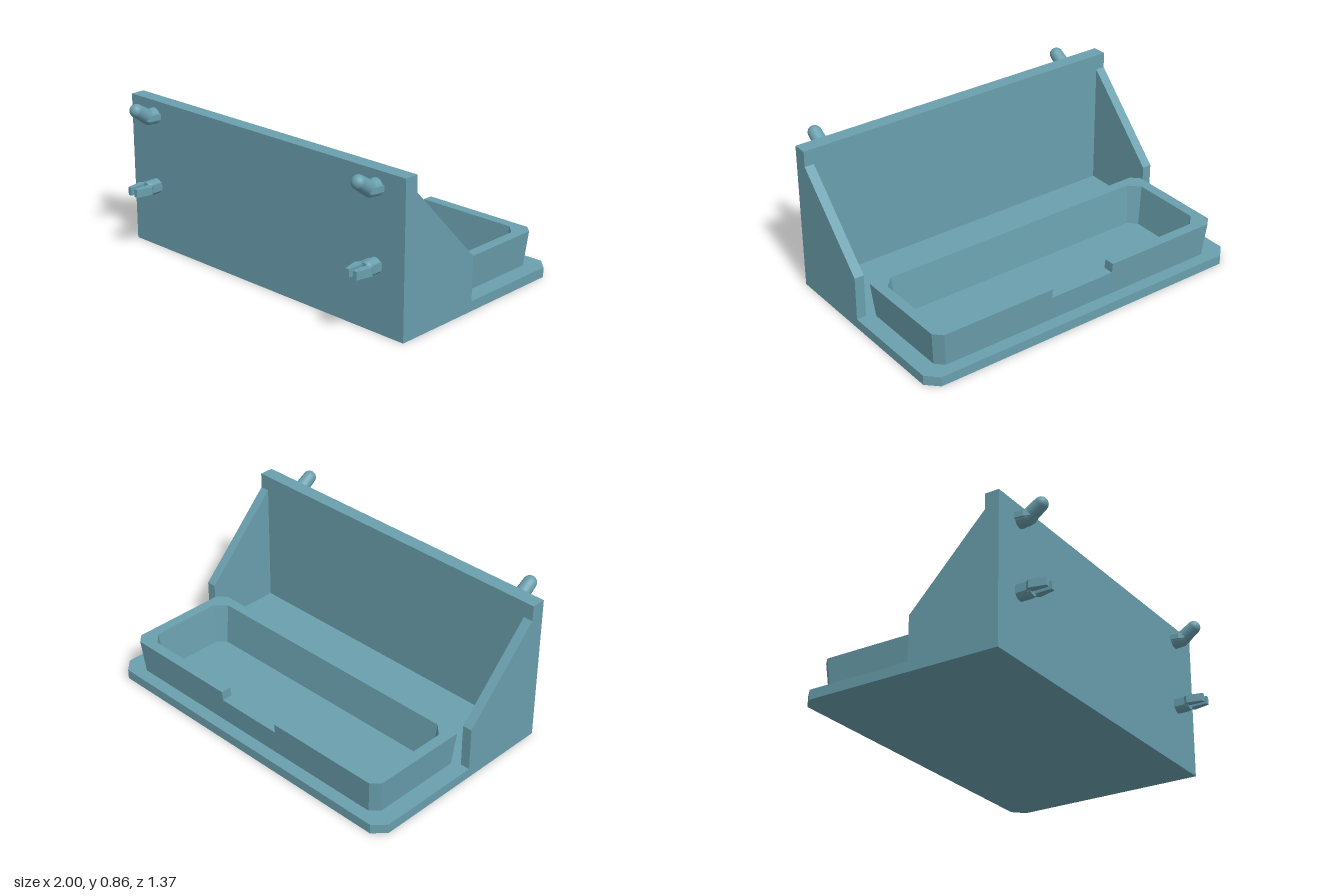
import * as THREE from 'three';

const material = new THREE.MeshStandardMaterial({ color: 0x6a9fae, flatShading: true, side: THREE.DoubleSide });
const smooth = new THREE.MeshStandardMaterial({ color: 0x6a9fae });

const shapeOf = (pts) => new THREE.Shape(pts.map(([x, y]) => new THREE.Vector2(x, y)));

function part(name, geometry, parent, mat = material) {
  const mesh = new THREE.Mesh(geometry, mat);
  mesh.name = name;
  parent.add(mesh);
  return mesh;
}

// Extrudes an (x, z) outline upward from y0 to y1
function slab(outline, y0, y1, hole) {
  const flip = ([x, z]) => [x, -z];
  const shape = shapeOf(outline.map(flip));
  if (hole) shape.holes.push(shapeOf(hole.map(flip)));
  return new THREE.ExtrudeGeometry(shape, { depth: y1 - y0, bevelEnabled: false })
    .rotateX(-Math.PI / 2).translate(0, y0, 0);
}

// Chamfered rectangle; the back edge carries doubled points for the notch
const NOTCH = 0.2;
function trayRing(hx, zb, zf, c, y, drop = 0, shift = 0) {
  return [
    [hx, y, zf - c], [hx, y, zb + c], [hx - c, y, zb],
    [NOTCH, y, zb], [NOTCH, y - drop, zb + shift], [-NOTCH, y - drop, zb + shift], [-NOTCH, y, zb],
    [c - hx, y, zb], [-hx, y, zb + c], [-hx, y, zf - c], [c - hx, y, zf], [hx - c, y, zf],
  ];
}

function trayGeometry() {
  const rings = [
    trayRing(0.902, -0.613, 0.003, 0.045, 0.055),
    trayRing(0.92, -0.63, 0.02, 0.045, 0.25, 0.055, 0.005),
    trayRing(0.86, -0.57, -0.04, 0.06, 0.25, 0.055, 0.006),
    trayRing(0.833, -0.543, -0.07, 0.045, 0.02),
  ];
  const n = rings[0].length;
  const index = [];
  for (let r = 0; r < rings.length - 1; r++) {
    for (let i = 0; i < n; i++) {
      const a = r * n + i, b = r * n + (i + 1) % n;
      index.push(a, b, b + n, a, b + n, a + n);
    }
  }
  const f = (rings.length - 1) * n;
  for (let i = 1; i < n - 1; i++) index.push(f, f + i, f + i + 1);
  const g = new THREE.BufferGeometry();
  g.setAttribute('position', new THREE.Float32BufferAttribute(rings.flat(2), 3));
  g.setIndex(index);
  const flat = g.toNonIndexed();
  flat.computeVertexNormals();
  return flat;
}

// Upper peg: round root, bent upward to a rounded tip
function hook(x) {
  const g = new THREE.Group();
  g.name = 'upperHook';
  const root = part('hookRoot', new THREE.CylinderGeometry(0.042, 0.046, 0.05, 24).rotateX(Math.PI / 2), g, smooth);
  root.position.set(0, 0.765, 0.535);
  const wing = part('hookWings', slab([[-0.055, 0.5], [0.055, 0.5], [0.05, 0.56], [0.035, 0.59], [-0.035, 0.59], [-0.05, 0.56]], -0.016, 0.016), g);
  wing.position.y = 0.768;
  const a = new THREE.Vector3(0, 0.764, 0.555), b = new THREE.Vector3(0, 0.818, 0.635);
  const elbow = part('hookElbow', new THREE.SphereGeometry(0.042, 24, 16), g, smooth);
  elbow.position.copy(a);
  const arm = part('hookArm', new THREE.CylinderGeometry(0.038, 0.042, a.distanceTo(b), 24), g, smooth);
  arm.position.copy(a).lerp(b, 0.5);
  arm.quaternion.setFromUnitVectors(new THREE.Vector3(0, 1, 0), b.clone().sub(a).normalize());
  const tip = part('hookTip', new THREE.SphereGeometry(0.038, 24, 16), g, smooth);
  tip.position.copy(b);
  g.position.x = x;
  return g;
}

// Lower peg: round root with two tapering snap prongs
function clip(x) {
  const g = new THREE.Group();
  g.name = 'lowerClip';
  const root = part('clipRoot', new THREE.CylinderGeometry(0.042, 0.042, 0.065, 24).rotateX(Math.PI / 2), g, smooth);
  root.position.set(0, 0.359, 0.5425);
  const lip = part('clipRootLip', new THREE.CylinderGeometry(0.034, 0.042, 0.015, 24).rotateX(Math.PI / 2), g, smooth);
  lip.position.set(0, 0.359, 0.5825);
  for (const s of [-1, 1]) {
    const outline = [[0.013, 0.51], [0.042, 0.51], [0.042, 0.575], [0.057, 0.595], [0.036, 0.685], [0.013, 0.685]];
    part('clipProng', slab(outline.map(([px, z]) => [s * px, z]), 0.341, 0.386), g);
  }
  g.position.x = x;
  return g;
}

export function createModel() {
  const model = new THREE.Group();
  model.name = 'wallShelfWithTray';

  // Base with clipped rear corners, recessed under the tray
  const base = [[-1, 0.51], [1, 0.51], [1, -0.62], [0.935, -0.685], [-0.935, -0.685], [-1, -0.62]];
  const recess = [[-0.87, -0.03], [0.87, -0.03], [0.87, -0.58], [-0.87, -0.58]];
  part('baseBottom', slab(base, 0, 0.02), model);
  part('baseTop', slab(base, 0.02, 0.055, recess), model);

  // Upright mounting plate
  part('mountingPlate', new THREE.BoxGeometry(2, 0.85, 0.082).translate(0, 0.425, 0.47), model);

  // Sloped side gussets, drawn in (z, y)
  const gusset = shapeOf([[0.43, 0], [0.43, 0.762], [-0.012, 0.305], [-0.012, 0]]);
  for (const x of [-1, 0.945]) {
    const geo = new THREE.ExtrudeGeometry(gusset, { depth: 0.055, bevelEnabled: false })
      .rotateY(-Math.PI / 2).translate(x + 0.055, 0, 0);
    part('sideGusset', geo, model);
  }

  part('tray', trayGeometry(), model);

  for (const x of [-0.813, 0.813]) model.add(hook(x), clip(x));
  return model;
}
